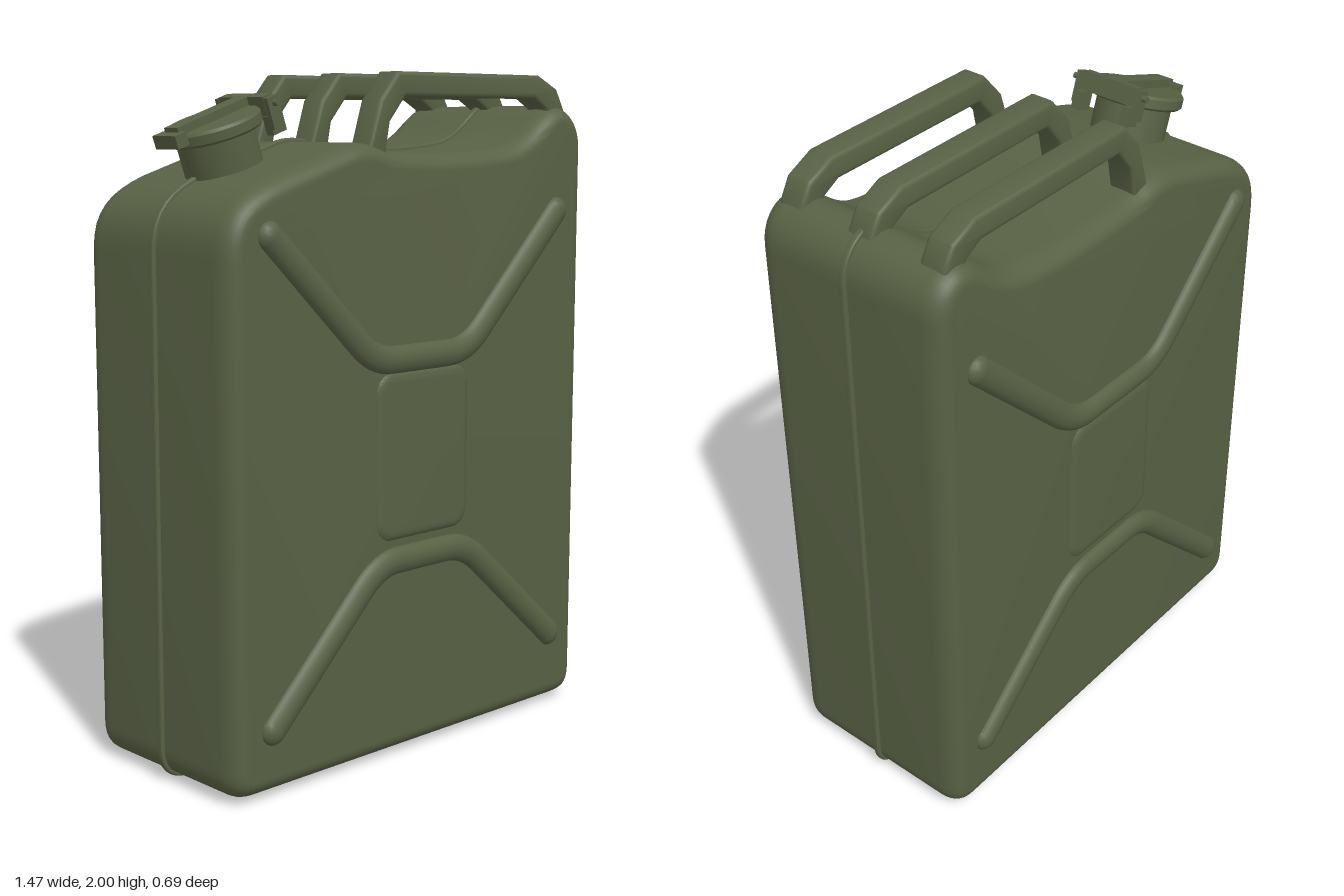
import * as THREE from 'three';
import { toCreasedNormals } from 'three/addons/utils/BufferGeometryUtils.js';

const paint = new THREE.MeshStandardMaterial({ color: 0x586144 });
paint.name = 'olive paint';

function add(parent, name, geometry, x = 0, y = 0, z = 0) {
  const mesh = new THREE.Mesh(geometry, paint);
  mesh.name = name;
  mesh.position.set(x, y, z);
  parent.add(mesh);
  return mesh;
}

// Bevelled slab centred on z = 0 whose outer outline is the shape grown by `grow`
function slab(shape, depth, bevel, thickness, segments, grow = 0) {
  const geometry = new THREE.ExtrudeGeometry(shape, {
    depth: depth - 2 * thickness, bevelEnabled: true, bevelSize: bevel, bevelThickness: thickness,
    bevelOffset: grow - bevel, bevelSegments: segments, curveSegments: 8,
  });
  geometry.translate(0, 0, thickness - depth / 2);
  return toCreasedNormals(geometry, 0.65);
}

// Can silhouette: sloped left shoulder, dip below the handles, tall right shoulder
function canOutline() {
  const s = new THREE.Shape();
  s.moveTo(-0.64, 0.012);
  s.lineTo(0.64, 0.012);
  s.quadraticCurveTo(0.725, 0.012, 0.725, 0.1);
  s.lineTo(0.725, 1.78);
  s.bezierCurveTo(0.725, 1.85, 0.68, 1.905, 0.62, 1.91);
  s.bezierCurveTo(0.54, 1.91, 0.5, 1.8, 0.36, 1.785);
  s.quadraticCurveTo(0.12, 1.76, -0.12, 1.78);
  s.quadraticCurveTo(-0.2, 1.815, -0.28, 1.795);
  s.lineTo(-0.55, 1.71);
  s.bezierCurveTo(-0.66, 1.67, -0.725, 1.62, -0.725, 1.5);
  s.lineTo(-0.725, 0.1);
  s.quadraticCurveTo(-0.725, 0.012, -0.64, 0.012);
  return s;
}

function roundedRect(x0, y0, x1, y1, r) {
  const s = new THREE.Shape();
  s.absarc(x1 - r, y0 + r, r, -Math.PI / 2, 0);
  s.absarc(x1 - r, y1 - r, r, 0, Math.PI / 2);
  s.absarc(x0 + r, y1 - r, r, Math.PI / 2, Math.PI);
  s.absarc(x0 + r, y0 + r, r, Math.PI, Math.PI * 1.5);
  s.closePath();
  return s;
}

// Pressed rib: straight arms joined by soft bends, flattened onto the panel
function addRib(parent, name, [a, b, c, d]) {
  const v = ([x, y]) => new THREE.Vector3(x, y, 0);
  const [A, B, C, D] = [a, b, c, d].map(v);
  const path = new THREE.CurvePath();
  const b0 = B.clone().lerp(A, 0.16), b1 = B.clone().lerp(C, 0.2);
  const c0 = C.clone().lerp(B, 0.2), c1 = C.clone().lerp(D, 0.16);
  path.add(new THREE.LineCurve3(A, b0));
  path.add(new THREE.QuadraticBezierCurve3(b0, B, b1));
  path.add(new THREE.LineCurve3(b1, c0));
  path.add(new THREE.QuadraticBezierCurve3(c0, C, c1));
  path.add(new THREE.LineCurve3(c1, D));
  const rib = new THREE.Group();
  rib.name = name;
  rib.position.z = 0.316;
  rib.scale.z = 0.75;
  add(rib, 'ribBar', new THREE.TubeGeometry(path, 60, 0.042, 12));
  for (const end of [A, D]) add(rib, 'ribEnd', new THREE.SphereGeometry(0.042, 14, 10), end.x, end.y);
  parent.add(rib);
}

function addHandles(can) {
  const s = new THREE.Shape([
    [-0.19, 1.76], [-0.12, 1.76], [-0.1, 1.86], [-0.04, 1.93], [0.52, 1.93], [0.575, 1.9],
    [0.59, 1.84], [0.665, 1.84], [0.66, 1.9], [0.625, 1.96], [0.54, 2], [-0.07, 2], [-0.14, 1.92],
  ].map(([x, y]) => new THREE.Vector2(x, y)));
  for (const z of [-0.243, 0, 0.243]) add(can, 'carryHandle', slab(s, 0.086, 0.012, 0.012, 3), 0, 0, z);
}

function addSpout(can) {
  const spout = new THREE.Group();
  spout.name = 'spout';
  spout.position.set(-0.515, 1.85, 0);
  spout.rotation.z = THREE.MathUtils.degToRad(19);
  can.add(spout);
  add(spout, 'neck', new THREE.CylinderGeometry(0.112, 0.112, 0.2, 40), 0, -0.1);
  const profile = [[0, -0.025], [0.133, -0.025], [0.14, -0.018], [0.14, 0.008], [0.133, 0.016], [0, 0.016]];
  const cap = new THREE.LatheGeometry(profile.map(([x, y]) => new THREE.Vector2(x, y)), 40);
  add(spout, 'cap', toCreasedNormals(cap, 0.5));
  // Locking lever over the cap, with its thumb hook
  add(spout, 'lever', new THREE.BoxGeometry(0.28, 0.03, 0.058), 0, 0.025);
  add(spout, 'leverHook', new THREE.BoxGeometry(0.04, 0.038, 0.1), -0.15, 0.008);
  add(spout, 'leverHinge', new THREE.BoxGeometry(0.035, 0.055, 0.19), 0.138, 0.012);
  const pin = add(spout, 'hingePin', new THREE.CylinderGeometry(0.009, 0.009, 0.26, 12), 0.143, 0.015);
  pin.rotation.x = Math.PI / 2;
  for (const side of [-1, 1]) {
    add(spout, 'hingeArm', new THREE.BoxGeometry(0.04, 0.09, 0.016), 0.14, -0.01, side * 0.105);
    add(spout, 'hingeLug', new THREE.BoxGeometry(0.05, 0.055, 0.03), 0.148, -0.045, side * 0.085);
  }
}

export function createModel() {
  const can = new THREE.Group();
  can.name = 'fuelCan';
  const outline = canOutline();
  add(can, 'body', slab(outline, 0.64, 0.05, 0.07, 8));
  add(can, 'weldSeam', slab(outline, 0.02, 0.006, 0.006, 3, 0.012));

  // Pressed panel on the front, repeated on the back by mirroring x under a half turn
  for (const front of [true, false]) {
    const m = front ? 1 : -1;
    const panel = new THREE.Group();
    panel.name = front ? 'frontPressing' : 'backPressing';
    panel.rotation.y = front ? 0 : Math.PI;
    const path = (points) => points.map(([x, y]) => [x * m, y]);
    addRib(panel, 'upperRib', path([[-0.585, 1.56], [-0.2, 1.19], [0.18, 1.19], [0.585, 1.59]]));
    addRib(panel, 'lowerRib', path([[-0.585, 0.2], [-0.18, 0.6], [0.18, 0.6], [0.585, 0.24]]));
    add(panel, 'centrePad', slab(roundedRect(-0.19, 0.66, 0.19, 1.155, 0.06), 0.04, 0.03, 0.014, 6), 0, 0, 0.309);
    can.add(panel);
  }
  addHandles(can);
  addSpout(can);
  return can;
}
